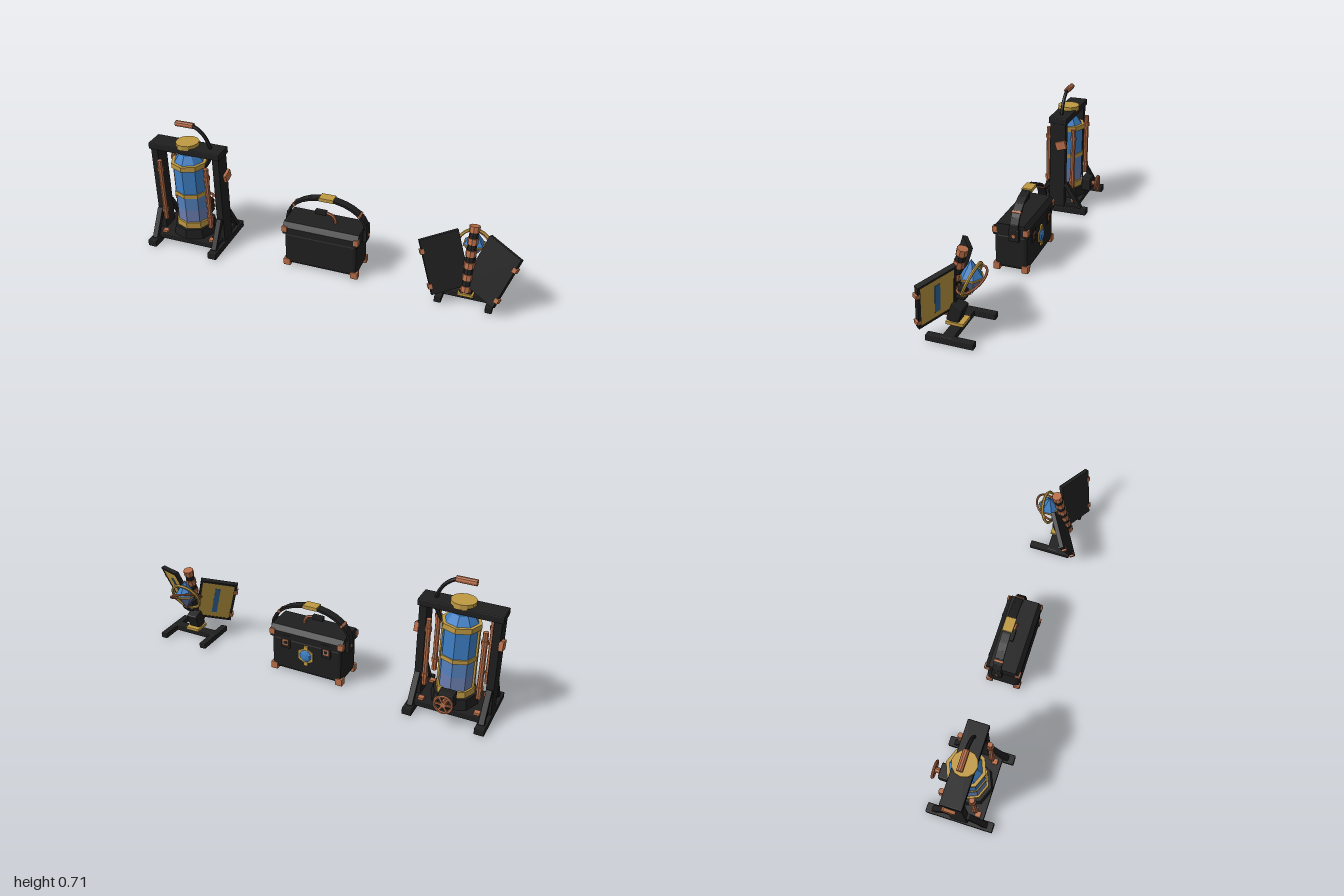
import * as THREE from 'three';
import { RoundedBoxGeometry } from 'three/addons/geometries/RoundedBoxGeometry.js';

export function createModel() {
  const mat = (name, color) => {
    const m = new THREE.MeshStandardMaterial({ color, flatShading: true });
    m.name = name;
    return m;
  };
  const black = mat('blackIron', 0x1f1f1f);
  const copper = mat('copper', 0xb86d48);
  const gold = mat('gold', 0xc09a42);
  const blue = mat('blueGlass', 0x3f80c6);
  const mist = mat('mistyBlueGlass', 0x5581be);
  const haze = mat('hazyBlueGlass', 0x6c7eb0);
  const slit = mat('deepBlue', 0x2f6aa0);

  const V = (x, y, z) => new THREE.Vector3(x, y, z);
  const add = (parent, name, geo, m, x = 0, y = 0, z = 0, rx = 0, ry = 0, rz = 0) => {
    const mesh = new THREE.Mesh(geo, m);
    mesh.name = name;
    mesh.position.set(x, y, z);
    mesh.rotation.set(rx, ry, rz);
    parent.add(mesh);
    return mesh;
  };
  const box = (w, h, d) => new RoundedBoxGeometry(w, h, d, 1, Math.min(w, h, d) * 0.12);
  const cyl = (rt, rb, h, n = 8) => new THREE.CylinderGeometry(rt, rb, h, n);
  const tube = (pts, r, n = 20) => new THREE.TubeGeometry(new THREE.CatmullRomCurve3(pts), n, r, 6);
  // round bar between two points
  const bar = (parent, name, a, b, r, m) => {
    const mesh = add(parent, name, cyl(r, r, a.distanceTo(b)), m);
    mesh.position.copy(a).lerp(b, 0.5);
    mesh.quaternion.setFromUnitVectors(V(0, 1, 0), b.clone().sub(a).normalize());
  };
  const root = new THREE.Group();
  root.name = 'travelGear';
  const group = (name, x, y, z) => {
    const g = new THREE.Group();
    g.name = name;
    g.position.set(x, y, z);
    root.add(g);
    return g;
  };

  // ---------- Framed glass tank ----------
  const tank = group('tankFrame', -0.787, 0, 0.008);
  add(tank, 'floorPlate', box(0.37, 0.025, 0.24), black, 0, 0.04, 0);
  add(tank, 'topBeam', box(0.41, 0.036, 0.108), black, 0, 0.557, 0);
  for (const s of [-1, 1]) {
    add(tank, 'foot', box(0.05, 0.036, 0.356), black, s * 0.18, 0.018, 0);
    add(tank, 'post', box(0.04, 0.52, 0.092), black, s * 0.178, 0.29, 0);
    add(tank, 'sideBlock', box(0.022, 0.048, 0.06), copper, s * 0.203, 0.415, -0.022, 0.3);
    for (const f of [-1, 1]) {
      add(tank, 'brace', box(0.03, 0.17, 0.025), black, s * 0.178, 0.105, f * 0.093, -f * 0.55);
      add(tank, 'footStud', box(0.03, 0.02, 0.03), copper, s * 0.14, 0.055, f * 0.085);
      // pipes beside the glass
      const px = s * 0.135, pz = f * 0.073;
      add(tank, 'pipe', cyl(0.0135, 0.0135, 0.36), copper, px, 0.313, pz);
      for (const y of [0.19, 0.44]) add(tank, 'pipeCollar', cyl(0.018, 0.018, 0.018), copper, px, y, pz);
    }
  }
  add(tank, 'tankBase', cyl(0.112, 0.12, 0.055), black, 0, 0.08, 0);
  add(tank, 'lowerGlass', cyl(0.088, 0.088, 0.1), haze, 0, 0.165, 0);
  add(tank, 'middleGlass', cyl(0.088, 0.088, 0.09), mist, 0, 0.26, 0);
  add(tank, 'upperGlass', cyl(0.088, 0.088, 0.17), blue, 0, 0.39, 0);
  add(tank, 'glassShoulder', cyl(0.05, 0.09, 0.058), blue, 0, 0.503, 0);
  for (const [y, h, r] of [[0.125, 0.035, 0.098], [0.305, 0.022, 0.094], [0.473, 0.028, 0.098]])
    add(tank, 'goldBand', cyl(r, r, h), gold, 0, y, 0);
  for (const s of [-1, 1]) add(tank, 'cageBar', box(0.016, 0.35, 0.022), gold, s * 0.085, 0.3, 0);
  add(tank, 'cap', cyl(0.062, 0.062, 0.026, 12), gold, 0, 0.581, 0);
  add(tank, 'handleArm', tube([V(0.085, 0.45, 0), V(0.118, 0.5, 0), V(0.133, 0.56, 0),
    V(0.113, 0.625, 0), V(0.075, 0.67, 0), V(0.04, 0.69, 0)], 0.01), black);
  add(tank, 'handleGrip', cyl(0.016, 0.016, 0.1, 10), copper, -0.005, 0.69, 0, 0, 0, Math.PI / 2);

  // valve wheel on the back
  add(tank, 'valveBox', box(0.08, 0.08, 0.055), black, 0, 0.125, -0.13);
  add(tank, 'valveShaft', cyl(0.015, 0.015, 0.05), copper, 0, 0.125, -0.168, Math.PI / 2);
  add(tank, 'valveWheel', new THREE.TorusGeometry(0.044, 0.007, 6, 16), copper, 0, 0.125, -0.188);
  for (let i = 0; i < 3; i++)
    add(tank, 'wheelSpoke', box(0.086, 0.009, 0.009), copper, 0, 0.125, -0.188, 0, 0, i * Math.PI / 3);

  // ---------- Case ----------
  const bag = group('carryCase', -0.023, 0, 0);
  add(bag, 'caseBody', box(0.4, 0.2, 0.18), black, 0, 0.113, 0);
  const lid = new THREE.Shape([[-0.093, 0.2], [0.093, 0.2], [0.093, 0.238], [0.072, 0.264], [-0.072, 0.264], [-0.093, 0.238]]
    .map(([x, y]) => new THREE.Vector2(x, y)));
  add(bag, 'caseLid', new THREE.ExtrudeGeometry(lid, { depth: 0.408, bevelEnabled: false }), black, -0.204, 0, 0, 0, Math.PI / 2);
  for (const s of [-1, 1]) {
    for (const f of [-1, 1]) {
      add(bag, 'lowerCorner', box(0.04, 0.04, 0.036), copper, s * 0.186, 0.022, f * 0.076);
      add(bag, 'upperCorner', box(0.03, 0.032, 0.03), copper, s * 0.194, 0.228, f * 0.082);
    }
    add(bag, 'handleLug', box(0.022, 0.065, 0.055), black, s * 0.212, 0.215, -0.025);
    add(bag, 'lugRivet', cyl(0.01, 0.01, 0.03), copper, s * 0.212, 0.215, -0.025, 0, 0, Math.PI / 2);
    // rear latches
    add(bag, 'latchStrap', box(0.05, 0.075, 0.012), black, s * 0.115, 0.185, -0.09);
    add(bag, 'latch', box(0.032, 0.034, 0.012), copper, s * 0.115, 0.183, -0.093);
    add(bag, 'latchKeeper', box(0.018, 0.014, 0.012), black, s * 0.115, 0.183, -0.096);
  }
  // arched flat handle made of short plates
  const arch = (t) => V(-0.217 * Math.cos(t), 0.24 + 0.145 * Math.sin(t), -0.025);
  const steps = 14;
  for (let i = 0; i < steps; i++) {
    const a = arch(i / steps * Math.PI), b = arch((i + 1) / steps * Math.PI);
    const mid = a.clone().lerp(b, 0.5);
    add(bag, 'handleStrap', new THREE.BoxGeometry(a.distanceTo(b) + 0.006, 0.012, 0.045), black,
      mid.x, mid.y, mid.z, 0, 0, Math.atan2(b.y - a.y, b.x - a.x));
  }
  add(bag, 'handlePlate', box(0.078, 0.02, 0.054), gold, 0, 0.386, -0.025);
  for (const t of [0.62, Math.PI - 0.62]) {
    const p = arch(t);
    add(bag, 'handleClip', box(0.012, 0.018, 0.05), copper, p.x, p.y, p.z, 0, 0, (t < 1.5 ? 1 : -1) * 0.75);
  }
  add(bag, 'leverArm', tube([V(0.055, 0.255, 0), V(0.052, 0.28, 0), V(0.035, 0.305, 0), V(0.005, 0.314, 0)], 0.008, 10), copper);
  add(bag, 'leverGrip', box(0.062, 0.024, 0.024), black, -0.025, 0.314, 0);
  // rear gem badge
  add(bag, 'badgePlate', cyl(0.047, 0.047, 0.01, 6), gold, 0, 0.13, -0.09, Math.PI / 2);
  add(bag, 'badgeGem', new THREE.SphereGeometry(0.036, 8, 5), blue, 0, 0.13, -0.092).scale.z = 0.4;
  for (const s of [-1, 1]) add(bag, 'badgeClip', box(0.024, 0.024, 0.016), gold, 0, 0.13 + s * 0.046, -0.091);

  // ---------- Folding stand with crystal ----------
  const stand = group('crystalStand', 0.74, 0, 0);
  for (const s of [-1, 1]) add(stand, 'standFoot', box(0.036, 0.03, 0.23), black, s * 0.127, 0.018, 0.015);
  add(stand, 'crossBar', box(0.27, 0.028, 0.055), black, 0, 0.02, 0.03);
  add(stand, 'pedestalTrim', box(0.08, 0.016, 0.088), gold, 0, 0.043, 0.036);
  add(stand, 'pedestal', box(0.065, 0.095, 0.062), black, 0, 0.09, 0.037, -0.35);

  // segmented spine
  const top = V(0, 0.41, 0.0), foot = V(0, 0.075, 0.085);
  const count = 11;
  for (let i = 0; i < count; i++) {
    const a = foot.clone().lerp(top, i / count), b = foot.clone().lerp(top, (i + 1) / count);
    const even = i % 2 === 0;
    bar(stand, even ? 'spineRing' : 'spineLink', a, b, even ? 0.027 : 0.023, even ? copper : black);
  }

  // two angled panels, dark outside, gold inside
  const W = 0.2, H = 0.29, R = 0.027;
  const rect = (w, h, P) => new P([[-w, -h], [w, -h], [w, h], [-w, h]].map(([x, y]) => new THREE.Vector2(x / 2, y / 2)));
  const rim = rect(W, H, THREE.Shape);
  rim.holes.push(rect(W - R, H - R, THREE.Path));
  const rimGeo = new THREE.ExtrudeGeometry(rim, { depth: 0.01, bevelEnabled: false });
  for (const s of [-1, 1]) {
    const panel = new THREE.Group();
    panel.name = s > 0 ? 'leftPanel' : 'rightPanel';
    const across = V(1, -0.23 * s, 0.6 * s).normalize();
    const up = V(0.35 * s, 1, -0.21);
    const out = across.clone().cross(up).normalize();
    up.copy(out).cross(across);
    panel.quaternion.setFromRotationMatrix(new THREE.Matrix4().makeBasis(across, up, out));
    panel.position.set(s * 0.115, 0.222, 0.083);
    stand.add(panel);
    add(panel, 'panelCover', box(W, H, 0.016), black);
    add(panel, 'panelRim', rimGeo, black, 0, 0, -0.016);
    add(panel, 'goldLining', new THREE.BoxGeometry(W - R, H - R, 0.008), gold, 0, 0, -0.01);
    add(panel, 'blueSlit', new THREE.BoxGeometry(0.028, 0.185, 0.006), slit, 0, 0, -0.0135);
    for (const y of [0.085, -0.1]) add(panel, 'edgeClasp', box(0.022, 0.026, 0.028), copper, s * (W / 2 - 0.002), y, -0.003);
  }

  // crystal held in crossed hoops
  const cy = 0.28, cz = -0.038;
  add(stand, 'crystalTop', cyl(0, 0.056, 0.085, 6), blue, 0, cy + 0.0425, cz);
  add(stand, 'crystalBottom', cyl(0.056, 0, 0.085, 6), haze, 0, cy - 0.0425, cz);
  add(stand, 'crystalGirdle', cyl(0.059, 0.059, 0.008, 6), gold, 0, cy, cz);
  add(stand, 'goldHoop', new THREE.TorusGeometry(0.083, 0.008, 6, 24), gold, 0, cy - 0.015, cz, -0.38);
  add(stand, 'copperHoop', new THREE.TorusGeometry(0.082, 0.006, 6, 24), copper, 0, cy - 0.015, cz, -1.03, 0.3);
  add(stand, 'crystalBracket', box(0.045, 0.06, 0.045), black, 0, 0.195, 0.01);
  add(stand, 'crystalClaw', tube([V(0, 0.235, 0.026), V(0, 0.2, 0.02), V(0, 0.187, -0.005), V(0, 0.2, -0.035)], 0.008, 12), copper);

  return root;
}
